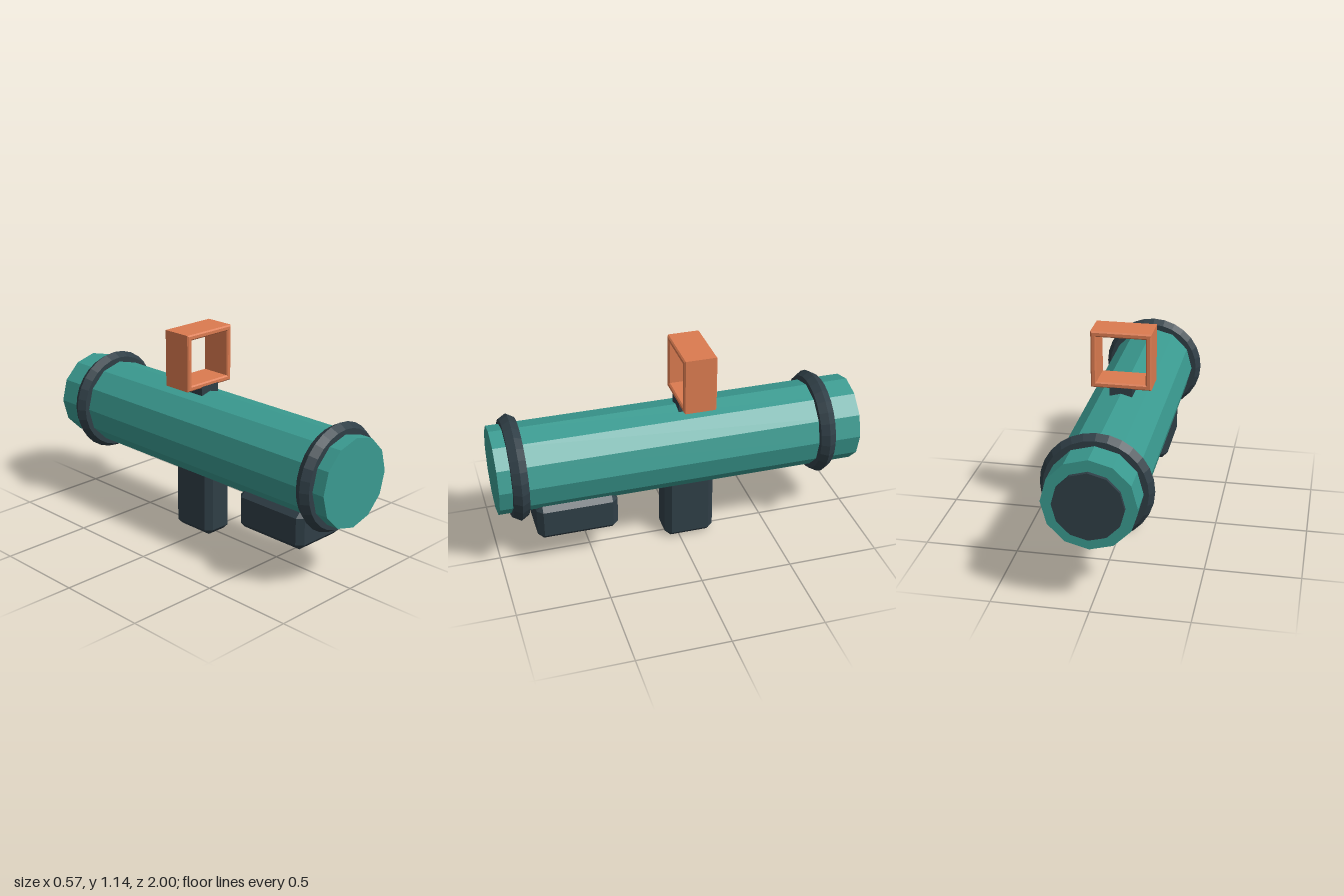
import * as THREE from 'three';
import { ConvexGeometry } from 'three/addons/geometries/ConvexGeometry.js';

const paint = (color) => new THREE.MeshStandardMaterial({ color, flatShading: true });

// Box with every edge cut by a flat chamfer c
function chamferBox(w, h, d, c) {
  const points = [];
  for (const x of [-1, 1]) for (const y of [-1, 1]) for (const z of [-1, 1]) {
    const X = w / 2, Y = h / 2, Z = d / 2;
    points.push(
      new THREE.Vector3(x * X, y * (Y - c), z * (Z - c)),
      new THREE.Vector3(x * (X - c), y * Y, z * (Z - c)),
      new THREE.Vector3(x * (X - c), y * (Y - c), z * Z));
  }
  return new ConvexGeometry(points);
}

// Traces a centred rectangle on a shape or hole path
function rectangle(path, w, h) {
  path.moveTo(-w / 2, -h / 2);
  path.lineTo(w / 2, -h / 2);
  path.lineTo(w / 2, h / 2);
  path.lineTo(-w / 2, h / 2);
  path.closePath();
  return path;
}

export function createModel() {
  const group = new THREE.Group();
  const teal = paint(0x3a9a90), dark = paint(0x2f3e46), orange = paint(0xdb7b50);
  const axisY = 0.574;

  function add(name, geometry, material, x, y, z) {
    const mesh = new THREE.Mesh(geometry, material);
    mesh.name = name;
    mesh.position.set(x, y, z);
    group.add(mesh);
    return mesh;
  }

  // Twelve-sided launch tube and the dark disc on its rear end
  const rod = (r, length) => new THREE.CylinderGeometry(r, r, length, 12).rotateX(Math.PI / 2);
  add('tube', rod(0.236, 1.98), teal, 0, axisY, 0.01);
  add('rearDisc', rod(0.177, 0.04), dark, 0, axisY, -0.98);

  // Hexagonal-section bands near both ends
  for (const [name, z] of [['frontBand', 0.889], ['rearBand', -0.784]]) {
    add(name, new THREE.TorusGeometry(0.237, 0.048, 6, 28), dark, 0, axisY, z);
  }

  // Wide fore grip and narrow rear handle below the tube
  add('foreGrip', chamferBox(0.33, 0.21, 0.44, 0.032), dark, 0, 0.29, 0.583);
  add('handle', chamferBox(0.18, 0.42, 0.276, 0.033), dark, 0, 0.21, -0.058);

  // Sight mount and bevelled open sight frame
  add('sightMount', new THREE.BoxGeometry(0.12, 0.08, 0.176), dark, 0, 0.805, -0.088);
  const bevel = 0.007, depth = 0.178;
  const frame = rectangle(new THREE.Shape(), 0.306, 0.294);
  frame.holes.push(rectangle(new THREE.Path(), 0.274, 0.262));
  const frameGeometry = new THREE.ExtrudeGeometry(frame, {
    depth: depth - 2 * bevel, bevelEnabled: true, bevelSize: bevel,
    bevelThickness: bevel, bevelSegments: 1,
  });
  add('sightFrame', frameGeometry, orange, 0, 0.99, bevel - depth);

  return group;
}
